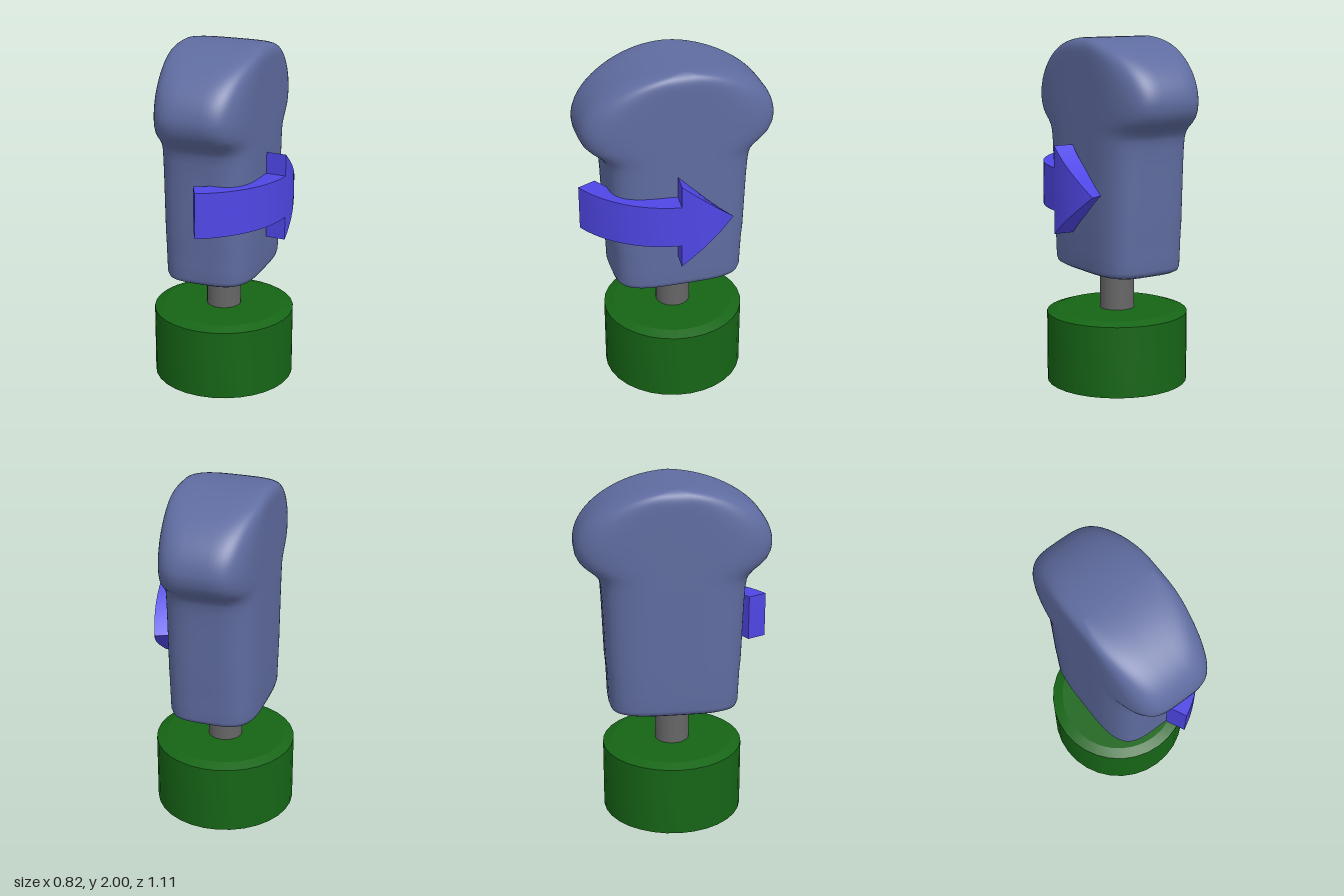
import * as THREE from 'three';
import { toCreasedNormals } from 'three/addons/utils/BufferGeometryUtils.js';

// Skin a list of closed loops (arrays of [x, y, z]) of equal length
function loft(loops) {
  const n = loops[0].length, index = [];
  for (let i = 0; i < loops.length - 1; i++) {
    for (let j = 0; j < n; j++) {
      const k = (j + 1) % n, a = i * n, b = a + n;
      index.push(a + j, b + j, a + k, a + k, b + j, b + k);
    }
  }
  const g = new THREE.BufferGeometry();
  g.setAttribute('position', new THREE.Float32BufferAttribute(loops.flat(2), 3));
  g.setIndex(index);
  g.computeVertexNormals();
  return g;
}

// Horizontal superellipse loop with half width w (x) and half depth d (z)
function ring(y, w, d, n = 72, p = 3.8) {
  const f = (v) => Math.sign(v) * Math.abs(v) ** (2 / p);
  return Array.from({ length: n }, (_, j) => {
    const a = (j / n) * Math.PI * 2;
    return [w * f(Math.cos(a)), y, d * f(Math.sin(a))];
  });
}

function handleGeometry() {
  // Underside and waist: height, half width, half depth
  const loops = [
    [0.67, 0, 0], [0.67, 0.21, 0.3], [0.673, 0.235, 0.345], [0.685, 0.255, 0.368], [0.71, 0.262, 0.377],
    [0.8, 0.264, 0.38], [0.9, 0.266, 0.384], [0.96, 0.267, 0.39], [1.13, 0.268, 0.396], [1.3, 0.269, 0.402],
    [1.4, 0.27, 0.408], [1.45, 0.27, 0.416], [1.48, 0.27, 0.43], [1.51, 0.27, 0.46], [1.54, 0.27, 0.5],
    [1.57, 0.27, 0.53], [1.61, 0.27, 0.55],
  ].map(([y, w, d]) => ring(y, w, d));
  // Domed head
  const steps = 24;
  for (let i = 0; i <= steps; i++) {
    const t = (i / steps) * Math.PI / 2, s = Math.sin(t);
    loops.push(ring(1.65 + 0.35 * s, 0.27 - 0.05 * s ** 16, 0.556 * Math.cos(t)));
  }
  return loft(loops);
}

// Arrow bent around a vertical axis beside the handle
function arrowGeometry() {
  const cx = -0.225, outer = 0.617, inner = 0.5;
  const section = (deg, lo, hi, r0 = inner, r1 = outer) => {
    const a = THREE.MathUtils.degToRad(deg);
    const at = (r, y) => [cx + r * Math.cos(a), y, r * Math.sin(a)];
    return [at(r1, lo), at(r1, hi), at(r0, hi), at(r0, lo)];
  };
  const mid = (inner + outer) / 2, tail = 64, neck = 5, tip = -25;
  const loops = [section(tail, 1.16, 1.16, mid, mid)];
  for (let i = 0; i <= 16; i++) {
    const t = i / 16;
    loops.push(section(tail + (neck - tail) * t, 1.03, 1.29 - 0.015 * t));
  }
  for (let i = 0; i <= 8; i++) {
    const t = i / 8;
    loops.push(section(neck + (tip - neck) * t, 0.895 + 0.245 * t, 1.4 - 0.26 * t));
  }
  return toCreasedNormals(loft(loops), 0.6);
}

export function createModel() {
  const model = new THREE.Group();
  const add = (name, geometry, color) => {
    const mesh = new THREE.Mesh(geometry, new THREE.MeshStandardMaterial({ color }));
    mesh.name = name;
    model.add(mesh);
    return mesh;
  };

  // Round base with a bevelled top edge
  const profile = [[0, 0], [0.41, 0], [0.41, 0.41], [0.35, 0.43], [0, 0.43]]
    .map(([r, y]) => new THREE.Vector2(r, y));
  add('base', toCreasedNormals(new THREE.LatheGeometry(profile, 32), 0.3), 0x166516);

  // Shaft between base and handle
  add('shaft', new THREE.CylinderGeometry(0.1, 0.1, 0.32, 32), 0x666666).position.y = 0.56;

  add('handle', handleGeometry(), 0x5f6ca0);
  add('turnArrow', arrowGeometry(), 0x4f46e5);
  return model;
}
